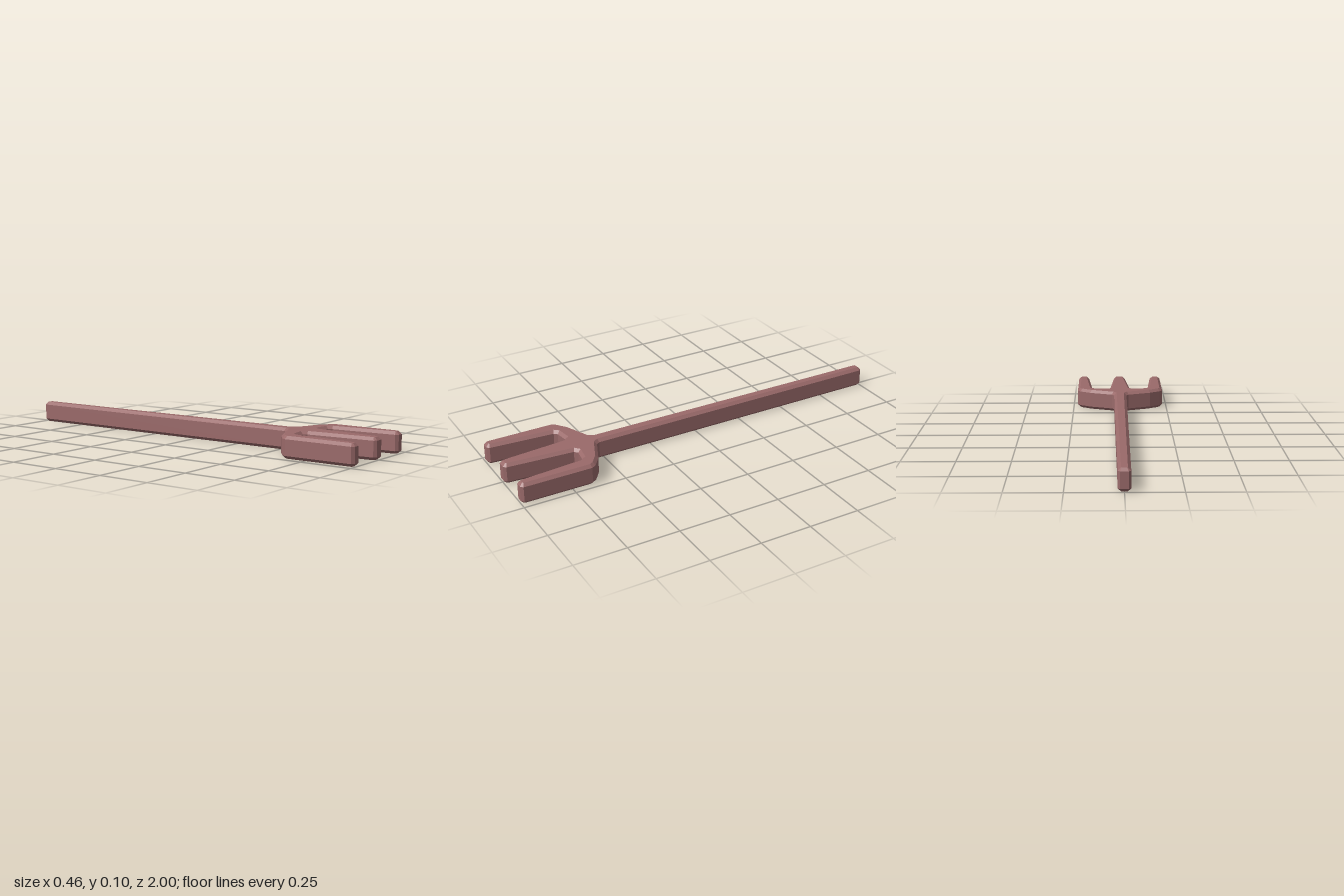
import * as THREE from 'three';

const HEIGHT = 0.103;
const BEVEL = 0.014;

// Left half of the outline as [x, z], from the handle end round to the middle tine tip
const HALF = [
  [0.018, -1], [0.028, -0.988],                                   // handle end
  [0.033, 0.525], [0.045, 0.543],                                 // neck
  [0.16, 0.592], [0.214, 0.632], [0.228, 0.655],                  // shoulder
  [0.228, 0.988], [0.214, 1], [0.185, 1], [0.172, 0.988],         // outer tine
  [0.148, 0.676], [0.134, 0.661], [0.072, 0.652], [0.056, 0.666], // gap between tines
  [0.031, 0.988], [0.019, 1],                                     // middle tine
];

export function createModel() {
  const group = new THREE.Group();
  group.name = 'pitchfork';

  // Mirror the half outline and extrude it with a single chamfer
  const mirrored = HALF.map(([x, z]) => [-x, z]).reverse();
  const outline = [...HALF, ...mirrored].map(([x, z]) => new THREE.Vector2(x, z));
  const geometry = new THREE.ExtrudeGeometry(new THREE.Shape(outline), {
    depth: HEIGHT - 2 * BEVEL,
    bevelEnabled: true,
    bevelThickness: BEVEL,
    bevelSize: BEVEL,
    bevelOffset: -BEVEL,
    bevelSegments: 1,
  });
  geometry.rotateX(Math.PI / 2); // lay flat, tines towards +z
  geometry.translate(0, HEIGHT - BEVEL, 0);

  const material = new THREE.MeshStandardMaterial({ color: 0x9a6a6a, flatShading: true });
  const fork = new THREE.Mesh(geometry, material);
  fork.name = 'handleAndTines';
  group.add(fork);
  return group;
}
